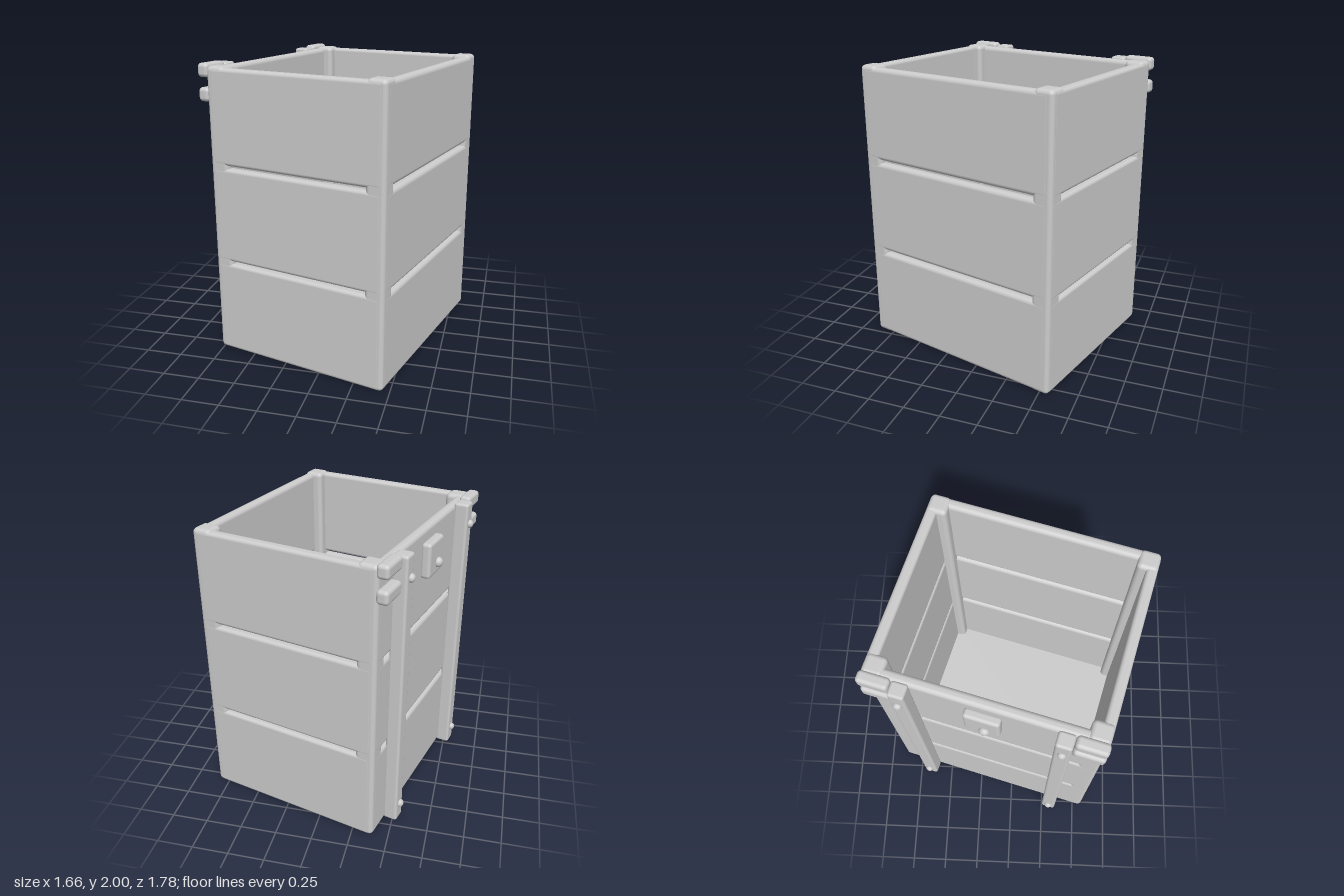
import * as THREE from 'three';
import { RoundedBoxGeometry } from 'three/addons/geometries/RoundedBoxGeometry.js';

export function createModel() {
  const model = new THREE.Group();
  model.name = 'crate';
  const grey = new THREE.MeshStandardMaterial({ color: 0xcccccc });
  grey.name = 'plain grey';

  // The crate stands turned about its vertical axis
  const crate = new THREE.Group();
  crate.name = 'crateBody';
  crate.rotation.y = THREE.MathUtils.degToRad(-14.8);
  crate.position.x = 0.03;
  model.add(crate);

  // Rounded block given by its lower and upper corners
  function block(name, lo, hi, radius) {
    const s = hi.map((h, i) => h - lo[i]);
    const mesh = new THREE.Mesh(new RoundedBoxGeometry(s[0], s[1], s[2], 3, radius), grey);
    mesh.name = name;
    mesh.position.set(...hi.map((h, i) => (h + lo[i]) / 2));
    crate.add(mesh);
  }

  // Domed rivet facing -x
  function rivet(name, x, y, z, r) {
    const geo = new THREE.SphereGeometry(r, 16, 12);
    geo.scale(0.9, 1, 1);
    const mesh = new THREE.Mesh(geo, grey);
    mesh.name = name;
    mesh.position.set(x, y, z);
    crate.add(mesh);
  }

  const W = 0.635, D = 0.75, H = 1.985;

  // Floor
  block('floor', [-W + 0.03, 0.008, -D + 0.03], [W - 0.03, 0.06, D - 0.03], 0.01);

  // Corner posts
  for (const sx of [-1, 1]) for (const sz of [-1, 1]) {
    const x = sx * (W - 0.068), z = sz * (D - 0.068);
    block('cornerPost', [x - 0.067, 0.005, z - 0.067], [x + 0.067, H, z + 0.067], 0.03);
  }

  // Three wide slats on each of the four walls
  for (const [y0, y1] of [[0.008, 0.655], [0.675, 1.325], [1.345, 1.975]]) {
    for (const s of [-1, 1]) {
      const z = s * (D - 0.036), x = s * (W - 0.036);
      block('endSlat', [-W + 0.02, y0, z - 0.036], [W - 0.02, y1, z + 0.036], 0.024);
      block('sideSlat', [x - 0.036, y0, -D + 0.02], [x + 0.036, y1, D - 0.02], 0.03);
    }
  }

  // Straps, rivets and corner clips on the -x wall
  for (const s of [-1, 1]) {
    const z = s * 0.5;
    block('strap', [-0.725, 0.015, z - 0.052], [-W + 0.01, 1.985, z + 0.052], 0.018);
    for (const y of [0.145, 1.84]) rivet('strapRivet', -0.728, y, z, 0.028);
    for (const [y0, y1] of [[1.91, 2], [1.755, 1.845]]) {
      const zc = s * 0.655;
      block('cornerClip', [-0.7, y0, zc - 0.1], [-W + 0.015, y1, zc + 0.1], 0.025);
    }
  }

  // Latch plate with its knob
  block('latchPlate', [-0.692, 1.66, -0.115], [-W + 0.01, 1.895, 0.115], 0.022);
  rivet('latchKnob', -0.695, 1.735, 0.02, 0.034);

  return model;
}
